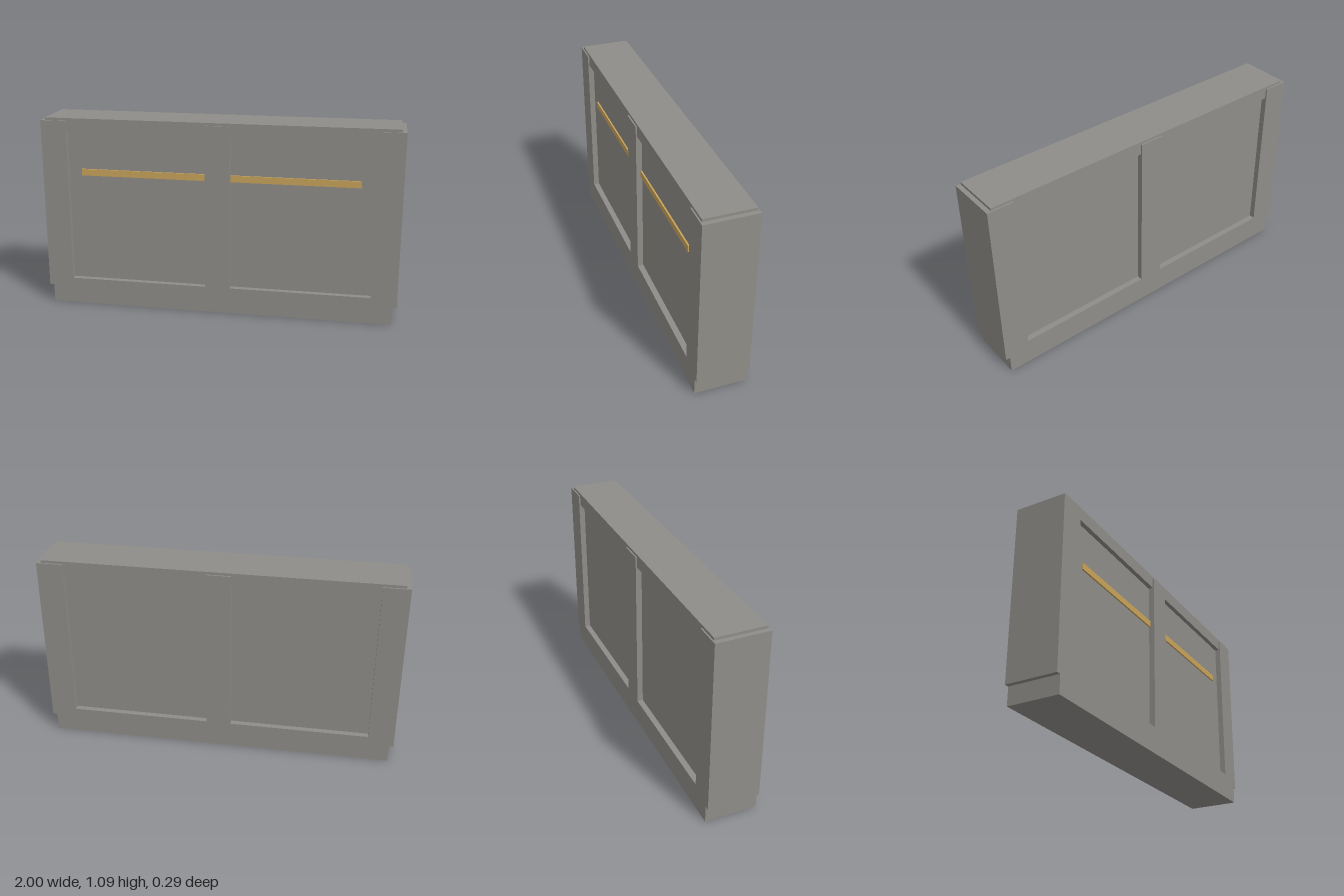
import * as THREE from 'three';

export function createModel() {
  const model = new THREE.Group();
  model.name = 'wallPanel';

  const stone = new THREE.MeshStandardMaterial({ color: 0x8f8d88 });
  stone.name = 'grey stone';
  const gold = new THREE.MeshStandardMaterial({ color: 0xc9a45b });
  gold.name = 'gold trim';

  // Box given by its lower and upper limits on each axis
  function block(name, material, [x0, x1], [y0, y1], [z0, z1]) {
    const mesh = new THREE.Mesh(new THREE.BoxGeometry(x1 - x0, y1 - y0, z1 - z0), material);
    mesh.position.set((x0 + x1) / 2, (y0 + y1) / 2, (z0 + z1) / 2);
    mesh.name = name;
    model.add(mesh);
  }

  const depth = [-0.145, 0.145];

  // Base, and the slightly shallower top beam
  block('base', stone, [-0.975, 0.975], [0, 0.15], depth);
  block('topBeam', stone, [-0.975, 0.975], [1.015, 1.09], [-0.137, 0.137]);

  // Centre post standing on the base
  block('centrePost', stone, [-0.07, 0.07], [0.15, 1.075], depth);

  for (const side of [-1, 1]) {
    const label = side > 0 ? 'left' : 'right';
    const span = (a, b) => (side > 0 ? [a, b] : [-b, -a]);
    // End post overhanging the base
    block(label + 'Post', stone, span(0.855, 1), [0.1, 1.075], depth);
    // Panel recessed on both faces
    block(label + 'Panel', stone, span(0.07, 0.855), [0.15, 1.015], [-0.112, 0.112]);
    // Trim strip on the front only
    block(label + 'Trim', gold, span(0.07, 0.78), [0.763, 0.8], [0.112, 0.121]);
  }

  return model;
}
